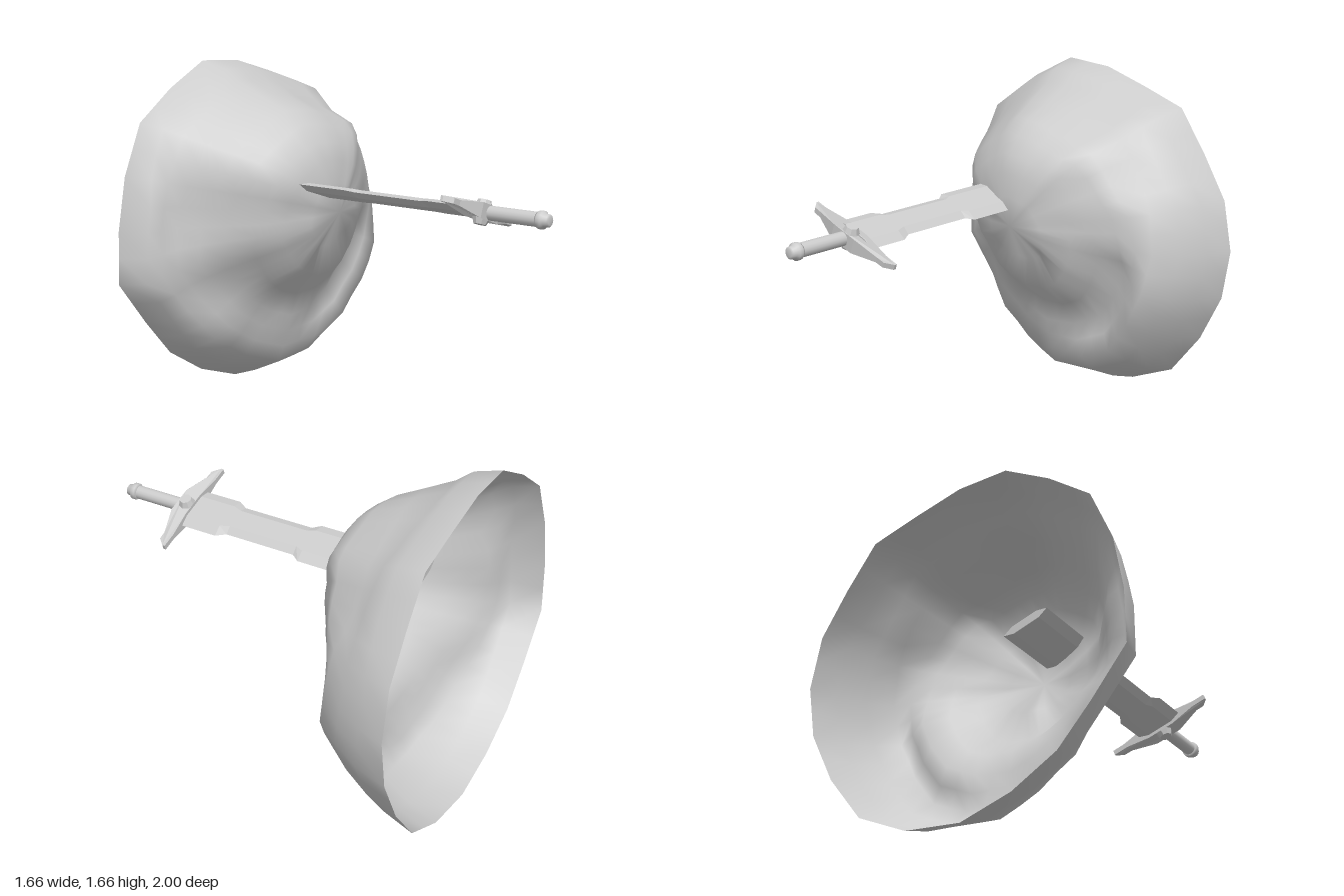
import * as THREE from 'three';
import { mergeVertices } from 'three/addons/utils/BufferGeometryUtils.js';

// Skin a list of equal-length rings (counter-clockwise seen from +z, running towards +z)
function loft(rings) {
  const n = rings[0].length, index = [];
  for (let i = 0; i < rings.length - 1; i++) {
    for (let j = 0; j < n; j++) {
      const a = i * n + j, b = i * n + (j + 1) % n;
      index.push(a, b, b + n, a, b + n, a + n);
    }
  }
  const g = new THREE.BufferGeometry();
  g.setAttribute('position', new THREE.Float32BufferAttribute(rings.flat(2), 3));
  g.setIndex(index);
  return mergeVertices(g, 1e-4);
}

function makeRock(material) {
  // Outline of the open rim, counter-clockwise
  const corners = [
    [0.83, 0.84], [0.78, 1.09], [0.65, 1.3], [0.5, 1.51], [0.27, 1.585], [0.03, 1.655], [-0.22, 1.67],
    [-0.45, 1.55], [-0.66, 1.4], [-0.77, 1.15], [-0.82, 0.89], [-0.83, 0.63], [-0.66, 0.41],
    [-0.5, 0.225], [-0.28, 0.09], [-0.03, 0.005], [0.25, 0.025], [0.5, 0.135], [0.67, 0.35], [0.79, 0.59],
  ];
  const rim = corners.flatMap(([x, y], i) => {
    const [nx, ny] = corners[(i + 1) % corners.length];
    return [[x, y], [(x + nx) / 2, (y + ny) / 2]];
  });
  const cy = 0.95;
  // Depth at each ring from rim to crown, every 30 degrees starting at +x
  const fractions = [1, 0.95, 0.87, 0.78, 0.69, 0.6, 0.48, 0.36, 0.2, 0];
  const depths = [
    [-1, -0.87, -0.74, -0.62, -0.57, -0.53, -0.47, -0.41, -0.34, -0.3],
    [-1, -0.85, -0.75, -0.68, -0.53, -0.48, -0.42, -0.37, -0.33, -0.3],
    [-1, -0.86, -0.78, -0.67, -0.49, -0.41, -0.36, -0.33, -0.31, -0.3],
    [-1, -0.86, -0.8, -0.65, -0.49, -0.41, -0.35, -0.32, -0.31, -0.3],
    [-1, -0.87, -0.78, -0.66, -0.54, -0.44, -0.37, -0.33, -0.31, -0.3],
    [-1, -0.88, -0.8, -0.7, -0.58, -0.47, -0.39, -0.35, -0.32, -0.3],
    [-1, -0.84, -0.82, -0.79, -0.7, -0.6, -0.46, -0.4, -0.34, -0.3],
    [-1, -0.85, -0.8, -0.77, -0.71, -0.64, -0.53, -0.42, -0.35, -0.3],
    [-1, -0.86, -0.74, -0.69, -0.66, -0.63, -0.56, -0.42, -0.37, -0.3],
    [-1, -0.86, -0.69, -0.66, -0.63, -0.61, -0.585, -0.44, -0.42, -0.3],
    [-1, -0.84, -0.71, -0.61, -0.63, -0.65, -0.56, -0.44, -0.41, -0.3],
    [-1, -0.83, -0.69, -0.57, -0.59, -0.62, -0.53, -0.43, -0.36, -0.3],
  ];
  const count = depths.length;
  const rings = fractions.map((f, k) => rim.map(([x, y]) => {
    const dy = y - cy;
    const s = (Math.atan2(dy, x) / (2 * Math.PI) + 1) * count;
    const i = Math.floor(s), t = (1 - Math.cos((s - i) * Math.PI)) / 2;
    const z = depths[i % count][k] * (1 - t) + depths[(i + 1) % count][k] * t;
    return [x * f, cy + dy * f, z];
  }));
  const g = loft(rings);
  g.computeVertexNormals();
  const rock = new THREE.Mesh(g, material);
  rock.name = 'rockShell';
  return rock;
}

function makeSword(smooth, flat) {
  const sword = new THREE.Group();
  sword.name = 'sword';
  const add = (name, geometry, material) => {
    const m = new THREE.Mesh(geometry, material);
    m.name = name;
    sword.add(m);
  };

  // Blade: six-sided section, narrower in the middle, closed at both ends
  const section = [[0.122, 0], [0.07, 0.02], [-0.07, 0.02], [-0.122, 0], [-0.07, -0.02], [0.07, -0.02]];
  const stations = [[-0.68, 0], [-0.68, 1], [-0.07, 1], [-0.03, 0.77], [0.35, 0.77], [0.4, 1], [0.61, 1], [0.61, 0]];
  const blade = loft(stations.map(([z, w]) => section.map(([u, v]) => [u * w, w ? v : 0, z])));
  blade.computeVertexNormals();
  add('blade', blade, flat);

  // Crossguard: flat outline, thick at the centre with slim tips
  const half = [[0.07, 0.595], [0.2, 0.595], [0.28, 0.595], [0.28, 0.608], [0.245, 0.645], [0.2, 0.647], [0.07, 0.682]];
  const outline = [...half, ...half.map(([u, z]) => [-u, z]).reverse()];
  const shape = new THREE.Shape(outline.map(([u, z]) => new THREE.Vector2(u, z)));
  const guard = new THREE.ExtrudeGeometry(shape, { depth: 2, bevelEnabled: false });
  guard.translate(0, 0, -1);
  guard.rotateX(Math.PI / 2);
  // The turn flips the outline to +z, so thickness now lies along y
  const p = guard.attributes.position;
  for (let i = 0; i < p.count; i++) {
    p.setY(i, p.getY(i) * (Math.abs(p.getX(i)) < 0.1 ? 0.036 : 0.013));
  }
  guard.computeVertexNormals();
  add('crossguard', guard, flat);

  // Studs on both faces of the guard
  for (const side of [-1, 1]) {
    const stud = new THREE.CylinderGeometry(0.03, 0.042, 0.03, 8);
    if (side < 0) stud.rotateX(Math.PI);
    stud.translate(0, side * 0.042, 0.637);
    add(side > 0 ? 'upperStud' : 'lowerStud', stud, flat);
  }

  // Grip and pommel
  const grip = new THREE.CylinderGeometry(0.034, 0.034, 0.29, 16);
  grip.rotateX(Math.PI / 2);
  grip.translate(0, 0, 0.805);
  add('grip', grip, smooth);
  const profile = [[0, 0.935], [0.036, 0.935], [0.042, 0.945], [0.042, 0.965], [0.031, 0.975], [0.029, 0.993], [0.02, 1], [0, 1]];
  const pommel = new THREE.LatheGeometry(profile.map(([r, y]) => new THREE.Vector2(r, y)), 16);
  pommel.rotateX(Math.PI / 2);
  add('pommel', pommel, smooth);

  sword.position.set(-0.13, 1.07, 0);
  sword.rotation.z = -0.35;
  return sword;
}

export function createModel() {
  const shell = new THREE.MeshStandardMaterial({ color: 0xcccccc, side: THREE.DoubleSide });
  const smooth = new THREE.MeshStandardMaterial({ color: 0xcccccc });
  const flat = new THREE.MeshStandardMaterial({ color: 0xcccccc, flatShading: true });
  const model = new THREE.Group();
  model.name = 'swordInRock';
  model.add(makeRock(shell), makeSword(smooth, flat));
  return model;
}
